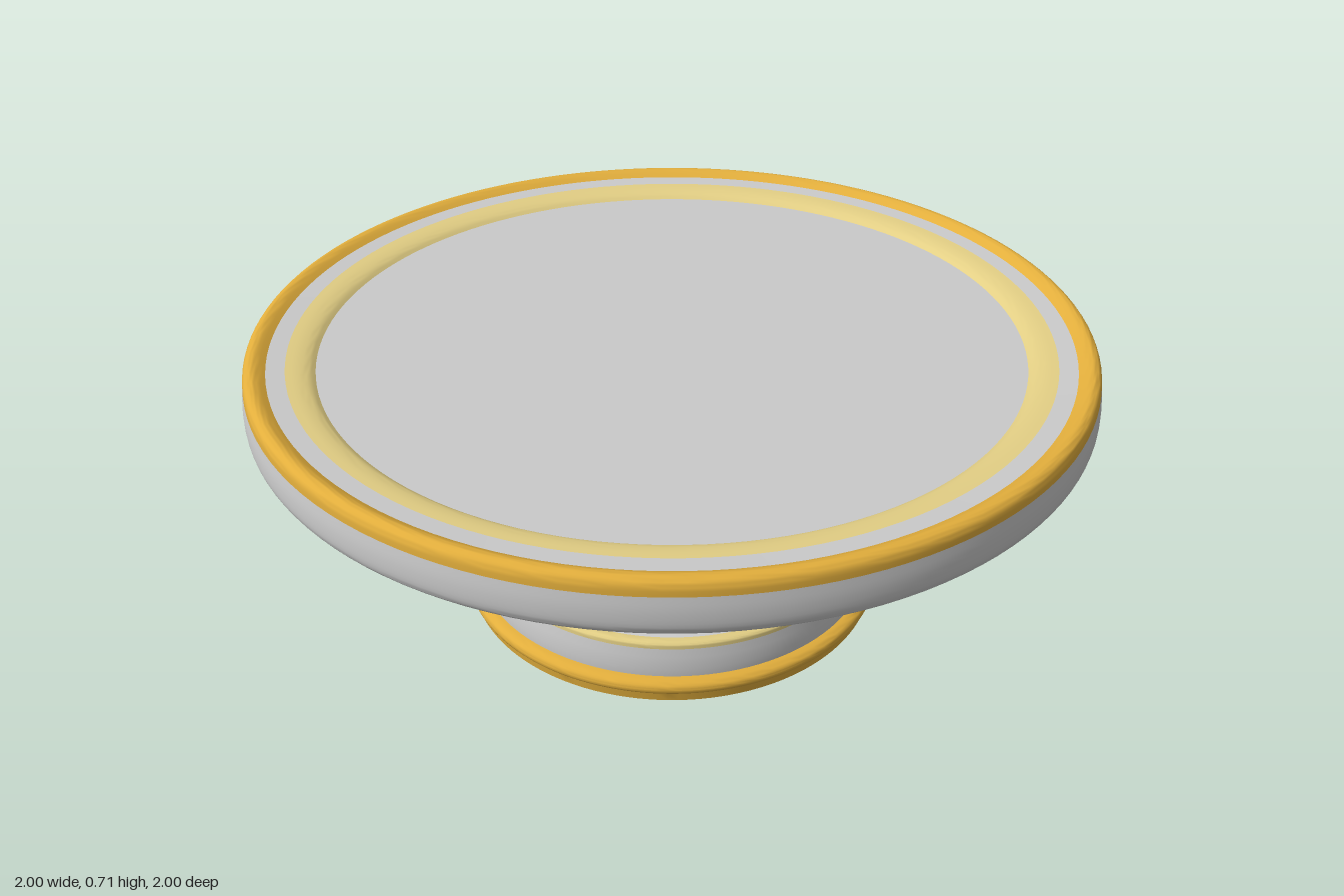
import * as THREE from 'three';
import { toCreasedNormals } from 'three/addons/utils/BufferGeometryUtils.js';

const SEGMENTS = 128;

const mat = (name, color) => {
  const m = new THREE.MeshStandardMaterial({ color, side: THREE.DoubleSide });
  m.name = name;
  return m;
};

export function createModel() {
  const model = new THREE.Group();
  model.name = 'cakeStand';
  const porcelain = mat('porcelain', 0xcacaca);
  const gold = mat('gold', 0xe2ae3c);
  const paleGold = mat('paleGold', 0xe2ce84);

  // Revolve a profile of [radius, height] pairs, listed from bottom to top on outer faces
  const turn = (name, material, profile) => {
    const points = profile.map(([r, y]) => new THREE.Vector2(r, y));
    const lathe = new THREE.LatheGeometry(points, SEGMENTS);
    const mesh = new THREE.Mesh(toCreasedNormals(lathe, 0.6), material);
    mesh.name = name;
    model.add(mesh);
  };
  // Smooth curve through a few profile points
  const smooth = (pts, n = 16) => new THREE.SplineCurve(pts.map(([r, y]) => new THREE.Vector2(r, y)))
    .getPoints(n).map((p) => [p.x, p.y]);

  // Foot: flat underside, gold moulding, porcelain drum with a pale band
  turn('footUnderside', porcelain, [[0, 0], [0.512, 0]]);
  turn('footMoulding', gold, [[0.512, 0], [0.515, 0.022],
    ...smooth([[0.517, 0.024], [0.525, 0.032], [0.525, 0.046], [0.515, 0.056], [0.498, 0.06]], 10)]);
  turn('footDrum', porcelain, [[0.498, 0.06], [0.498, 0.08], [0.492, 0.11], [0.487, 0.131]]);
  turn('footBand', paleGold, smooth([[0.487, 0.131], [0.486, 0.141], [0.478, 0.147], [0.462, 0.146]], 8));
  turn('footSlope', porcelain, smooth([[0.462, 0.146], [0.4, 0.157], [0.33, 0.178], [0.275, 0.205]]));

  // Collar with a narrow waist line
  turn('collar', gold, [[0.27, 0.2], [0.287, 0.2], [0.291, 0.206], [0.291, 0.216], [0.287, 0.221],
    [0.291, 0.226], [0.291, 0.239], [0.286, 0.246], [0.27, 0.246]]);

  // Flared stem
  turn('stem', porcelain, smooth([[0.274, 0.24], [0.277, 0.29], [0.29, 0.36], [0.32, 0.43],
    [0.37, 0.492], [0.44, 0.533], [0.55, 0.562]], 28));

  // Plate: underside and wall, gold rim, flat lip, pale cove and serving surface
  turn('plateBody', porcelain, [[0.5, 0.557], [0.6, 0.561], [0.8, 0.567], [0.96, 0.576],
    ...smooth([[0.975, 0.578], [0.99, 0.586], [0.998, 0.605], [0.998, 0.64], [0.993, 0.673]], 14)]);
  turn('plateRim', gold, smooth([[0.993, 0.673], [0.99, 0.695], [0.978, 0.707], [0.962, 0.707], [0.94, 0.694]], 14));
  turn('plateLip', porcelain, [[0.94, 0.694], [0.897, 0.692]]);
  turn('plateCove', paleGold, smooth([[0.897, 0.692], [0.87, 0.69], [0.845, 0.684], [0.83, 0.674]], 10));
  turn('servingSurface', porcelain, [[0.83, 0.674], [0, 0.674]]);

  return model;
}
